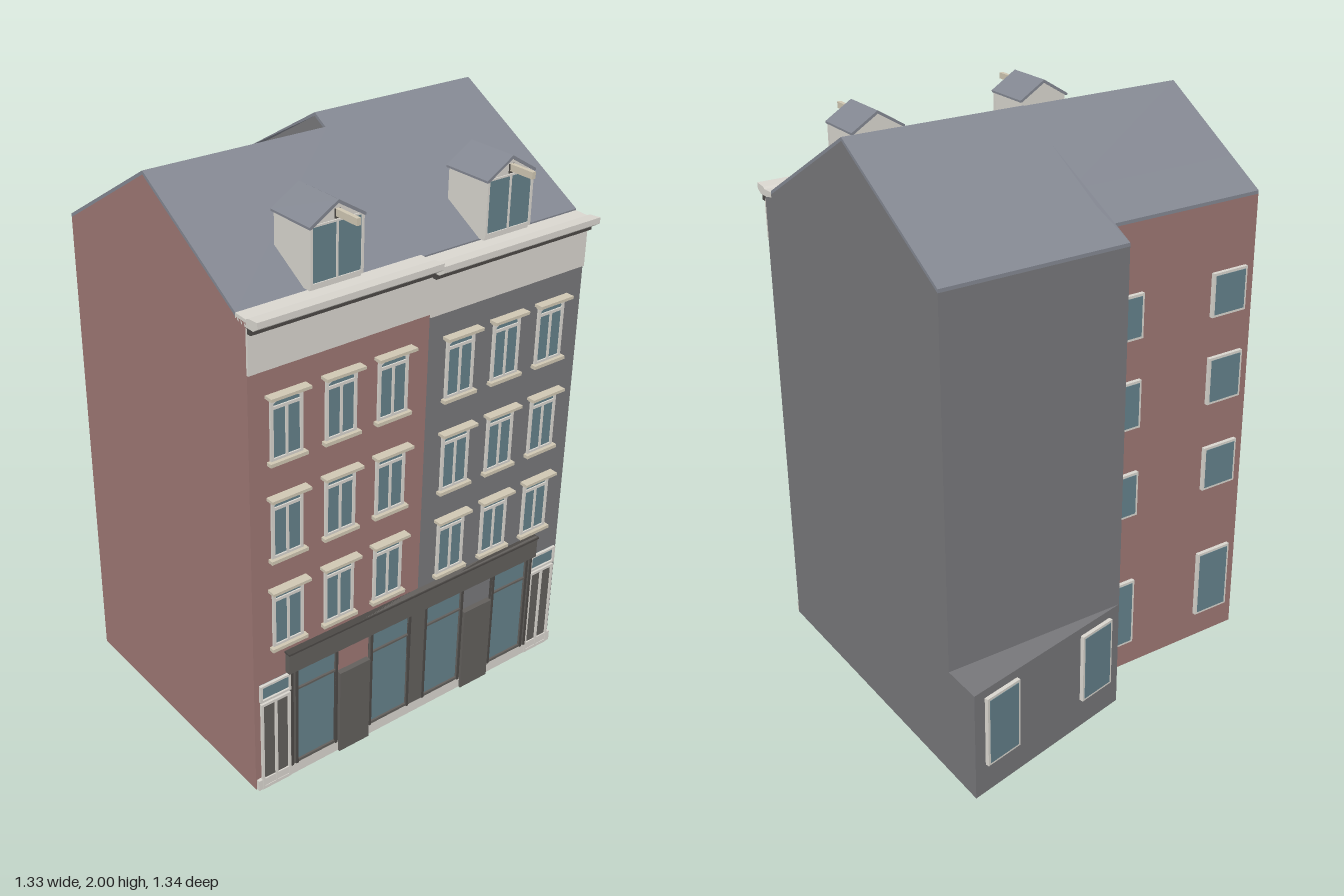
import * as THREE from 'three';

const mat = (color, opts = {}) => new THREE.MeshStandardMaterial({ color, ...opts });
const M = {
  brick: mat(0x9c7673), stone: mat(0x77777a), roof: mat(0x838791),
  white: mat(0xd8d5ce), cream: mat(0xcfc6b2), dark: mat(0x625f5c),
  trim: mat(0x4c4946), glass: mat(0x64808a),
};

function add(parent, name, geometry, material) {
  const mesh = new THREE.Mesh(geometry, material);
  mesh.name = name;
  parent.add(mesh);
  return mesh;
}

function box(parent, name, material, x0, x1, y0, y1, z0, z1) {
  const m = add(parent, name, new THREE.BoxGeometry(Math.abs(x1 - x0), y1 - y0, z1 - z0), material);
  m.position.set((x0 + x1) / 2, (y0 + y1) / 2, (z0 + z1) / 2);
  return m;
}

const poly = pts => new THREE.Shape(pts.map(p => new THREE.Vector2(...p)));
const rect = (x0, x1, y0, y1) => poly([[x0, y0], [x1, y0], [x1, y1], [x0, y1]]);
const extrude = (shape, depth) => new THREE.ExtrudeGeometry(shape, { depth, bevelEnabled: false, curveSegments: 8 });

// Extrude a [z, y] section along x from x0 to x1
function alongX(section, x0, x1) {
  const g = extrude(poly(section.map(([z, y]) => [-z, y])), x1 - x0);
  return g.rotateY(Math.PI / 2).translate(x0, 0, 0);
}

// Frame with openings cut through and a glass sheet behind
function framed(parent, name, outer, holes, frameMat, paneMat, z0, z1, pane) {
  const g = new THREE.Group();
  g.name = name;
  outer.holes = holes;
  add(g, 'frame', extrude(outer, z1 - z0), frameMat).position.z = z0;
  box(g, 'pane', paneMat, ...pane, z0 - 0.004, z0 + 0.003);
  parent.add(g);
  return g;
}

// Arched facade window with transom, mullion, lintel and sill
function facadeWindow(parent, x, y) {
  const top = new THREE.Shape();
  top.moveTo(-0.048, 0.181);
  top.lineTo(0.048, 0.181);
  top.lineTo(0.048, 0.19);
  top.quadraticCurveTo(0, 0.222, -0.048, 0.19);
  top.closePath();
  const w = framed(parent, 'facadeWindow', rect(-0.058, 0.058, 0, 0.215),
    [top, rect(-0.048, -0.004, 0.01, 0.171), rect(0.004, 0.048, 0.01, 0.171)],
    M.white, M.glass, 0.6, 0.608, [-0.055, 0.055, 0.004, 0.212]);
  box(w, 'lintel', M.cream, -0.072, 0.072, 0.212, 0.222, 0.598, 0.632);
  box(w, 'lintelBed', M.cream, -0.064, 0.064, 0.204, 0.212, 0.598, 0.616);
  box(w, 'sill', M.cream, -0.068, 0.068, -0.01, 0.002, 0.598, 0.62);
  w.position.set(x, y, 0);
}

// Gabled roof dormer with a hoisting beam
function dormer(parent, x, dy) {
  const d = new THREE.Group();
  d.name = 'dormer';
  box(d, 'dormerBody', M.white, -0.092, 0.092, 1.705, 1.9, 0.4, 0.57);
  add(d, 'pediment', extrude(poly([[-0.092, 1.895], [0.092, 1.895], [0, 1.95]]), 0.174), M.white).position.z = 0.4;
  const roof = poly([[-0.1, 1.893], [-0.094, 1.893], [0, 1.95], [0.094, 1.893], [0.1, 1.893], [0.1, 1.9], [0, 1.961], [-0.1, 1.9]]);
  add(d, 'dormerRoof', extrude(roof, 0.185), M.roof).position.z = 0.395;
  framed(d, 'dormerWindow', rect(-0.095, 0.095, 1.715, 1.902),
    [rect(-0.087, -0.003, 1.727, 1.896), rect(0.003, 0.087, 1.727, 1.896)],
    M.white, M.glass, 0.571, 0.578, [-0.09, 0.09, 1.72, 1.9]);
  box(d, 'beamSocket', M.trim, -0.01, 0.01, 1.905, 1.934, 0.57, 0.577);
  box(d, 'hoistBeam', M.cream, -0.007, 0.007, 1.912, 1.934, 0.57, 0.67);
  d.position.set(x, dy, 0);
  parent.add(d);
}

// Plain back window standing slightly proud of the wall, facing -z at local z = 0
function backWindow(parent, x, z, turn, y0, y1) {
  const w = new THREE.Group();
  w.name = 'backWindow';
  box(w, 'surround', M.white, -0.073, 0.073, y0, y1, -0.014, 0.005);
  box(w, 'pane', M.glass, -0.064, 0.064, y0 + 0.009, y1 - 0.009, -0.016, -0.008);
  w.position.set(x, 0, z);
  w.rotation.y = turn;
  parent.add(w);
}

// Body, pitched roof, cornice, windows and dormer of one house
function house(name, o) {
  const h = new THREE.Group();
  h.name = name;
  const { x0, x1, back, ridge, peak, eave, wall, dy } = o;
  const t = 0.012, jog = back + 0.14;
  const jogY = eave + (peak - eave) * (jog - back) / (ridge - back);
  const body = alongX([[0.6, 0], [0.6, eave - t], [0.55, eave - t], [ridge, peak - t],
    [jog, jogY - t], [back, eave - t], [back, 0], [jog, 0]], x0, x1);
  const roof = alongX([[0.55, eave], [ridge, peak], [jog, jogY], [back, eave],
    [back, eave - t], [jog, jogY - t], [ridge, peak - t], [0.55, eave - t]], x0, x1);
  if (o.warp) for (const g of [body, roof]) {
    const p = g.attributes.position;
    for (let i = 0; i < p.count; i++)
      if (p.getX(i) < 0.1) p.setX(i, o.warp(p.getZ(i)));
    g.computeVertexNormals();
  }
  add(h, 'walls', body, wall);
  add(h, 'roof', roof, M.roof);

  // Frieze, dark bed moulding and gutter
  box(h, 'frieze', M.white, x0, x1, 1.525 + dy, 1.672 + dy, 0.598, 0.606);
  box(h, 'bedMoulding', M.trim, x0, x1, 1.656 + dy, 1.674 + dy, 0.598, 0.622);
  add(h, 'gutter', alongX([[0.55, 1.683 + dy], [0.55, 1.7 + dy], [0.6, 1.698 + dy], [0.61, 1.704 + dy], [0.655, 1.708 + dy],
    [0.655, 1.688 + dy], [0.635, 1.674 + dy], [0.59, 1.674 + dy]], x0, x1), M.white);

  for (const y of [0.552, 0.882, 1.222])
    for (const x of o.columns) facadeWindow(h, x, y + dy);
  dormer(h, o.dormerX, dy);
  return h;
}

// Half of the ground floor, for side s = -1 or 1
function shopfront(s) {
  const g = new THREE.Group();
  g.name = s < 0 ? 'rightShopfront' : 'leftShopfront';
  const span = (a, b) => s > 0 ? [a, b] : [-b, -a];
  box(g, 'plinth', M.white, ...span(0, 0.66), 0, 0.04, 0.598, 0.612);
  box(g, 'fascia', M.dark, ...span(0, 0.542), 0.43, 0.512, 0.598, 0.622);
  box(g, 'fasciaCap', M.trim, ...span(0, 0.545), 0.505, 0.512, 0.598, 0.626);
  for (const [a, b, ga, gb] of [[0, 0.205, 0.04, 0.195], [0.342, 0.53, 0.35, 0.502]]) {
    framed(g, 'shopWindow', rect(...span(a, b), 0.04, 0.43),
      [rect(...span(ga, gb), 0.05, 0.343), rect(...span(ga, gb), 0.35, 0.425)],
      M.dark, M.glass, 0.602, 0.612, [...span(ga - 0.005, gb + 0.005), 0.045, 0.428]);
  }
  for (const x of [0.036, 0.2, 0.346, 0.507, 0.526])
    box(g, 'pilaster', M.trim, ...span(x - 0.004, x + 0.004), 0.04, 0.43, 0.598, 0.616);
  box(g, 'shopDoor', M.dark, ...span(0.21, 0.335), 0, 0.33, 0.598, 0.62);
  framed(g, 'houseDoor', rect(...span(0.532, 0.645), 0, 0.352),
    [rect(...span(0.54, 0.584), 0.012, 0.342), rect(...span(0.592, 0.637), 0.012, 0.342)],
    M.white, M.dark, 0.604, 0.614, [...span(0.535, 0.642), 0.005, 0.35]);
  framed(g, 'fanlight', rect(...span(0.528, 0.648), 0.36, 0.425), [rect(...span(0.536, 0.64), 0.368, 0.417)],
    M.white, M.glass, 0.604, 0.614, [...span(0.53, 0.645), 0.363, 0.422]);
  return g;
}

export function createModel() {
  const model = new THREE.Group();
  model.name = 'terracedHouses';

  const brick = house('brickHouse', {
    x0: -0.664, x1: 0.005, back: -0.37, ridge: 0.09, peak: 1.975, eave: 1.7, wall: M.brick, dy: 0,
    columns: [-0.533, -0.334, -0.136], dormerX: -0.332,
  });
  const grey = house('greyHouse', {
    x0: 0.005, x1: 0.662, back: -0.52, ridge: 0.015, peak: 2, eave: 1.693, wall: M.stone, dy: -0.012,
    columns: [0.135, 0.331, 0.527], dormerX: 0.332,
    warp: z => z > 0.1 ? 0.005 : z > -0.45 ? 0.012 : -0.012,
  });
  model.add(brick, grey, shopfront(-1), shopfront(1));

  // Wedge-shaped back extension of the grey house
  const wedge = extrude(poly([[-0.012, 0.52], [0.662, 0.52], [0.662, 0.67]]), 0.4).rotateX(-Math.PI / 2);
  add(grey, 'backExtension', wedge, M.stone);
  const slope = 0.15 / 0.674;
  for (const x of [0.107, 0.547])
    backWindow(grey, x, -0.52 - (x + 0.012) * slope, Math.atan(slope), 0.11, 0.37);

  for (const [y0, y1] of [[0.1, 0.36], [0.627, 0.795], [0.965, 1.14], [1.29, 1.448]])
    for (const x of [-0.113, -0.553]) backWindow(brick, x, -0.37, 0, y0, y1);

  return model;
}
